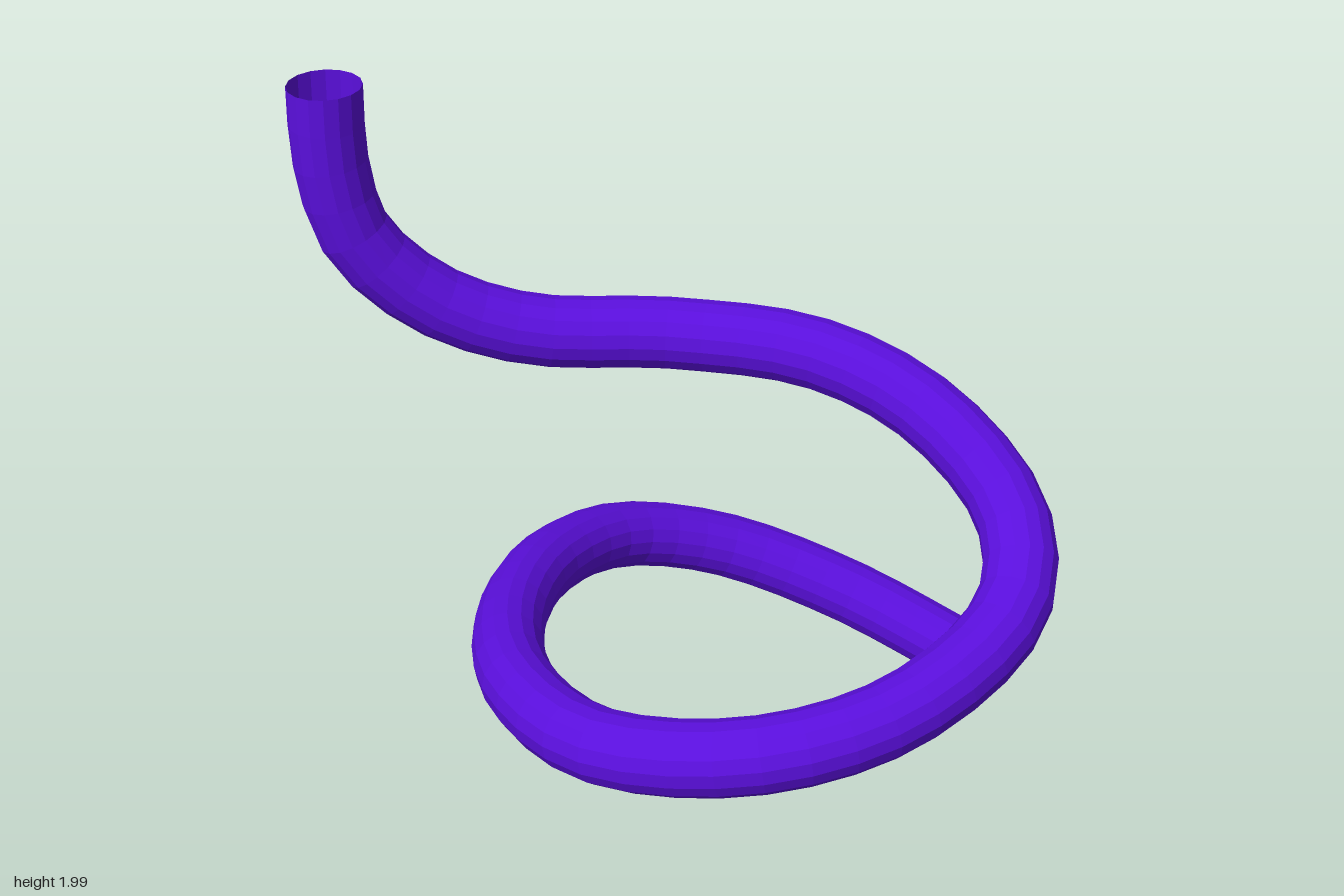
import * as THREE from 'three';

export function createModel() {
  const group = new THREE.Group();
  group.name = 'spiralPipe';

  // Centre line, from the upright top end down around the loop to the foot
  const path = new THREE.CatmullRomCurve3([
    [-0.84, 2.0, -0.39],
    [-0.84, 1.8, -0.39],
    [-0.79, 1.59, -0.39],
    [-0.62, 1.41, -0.39],
    [-0.38, 1.31, -0.385],
    [0, 1.29, -0.36],
    [0.36, 1.28, -0.235],
    [0.62, 1.2, -0.05],
    [0.785, 1.05, 0.2],
    [0.75, 0.93, 0.42],
    [0.46, 0.83, 0.66],
    [0.1, 0.78, 0.74],
    [-0.26, 0.72, 0.6],
    [-0.44, 0.67, 0.29],
    [-0.46, 0.62, -0.05],
    [-0.35, 0.56, -0.4],
    [-0.13, 0.47, -0.66],
    [0.17, 0.36, -0.745],
    [0.52, 0.23, -0.67],
    [0.88, 0.095, -0.475],
  ].map((p) => new THREE.Vector3(...p)));

  // Open-ended round pipe, seen from inside at both ends
  const pipe = new THREE.Mesh(
    new THREE.TubeGeometry(path, 64, 0.093, 16, false),
    new THREE.MeshStandardMaterial({ color: 0x5a0fdc, flatShading: true, side: THREE.DoubleSide }),
  );
  pipe.name = 'pipe';
  group.add(pipe);
  return group;
}
